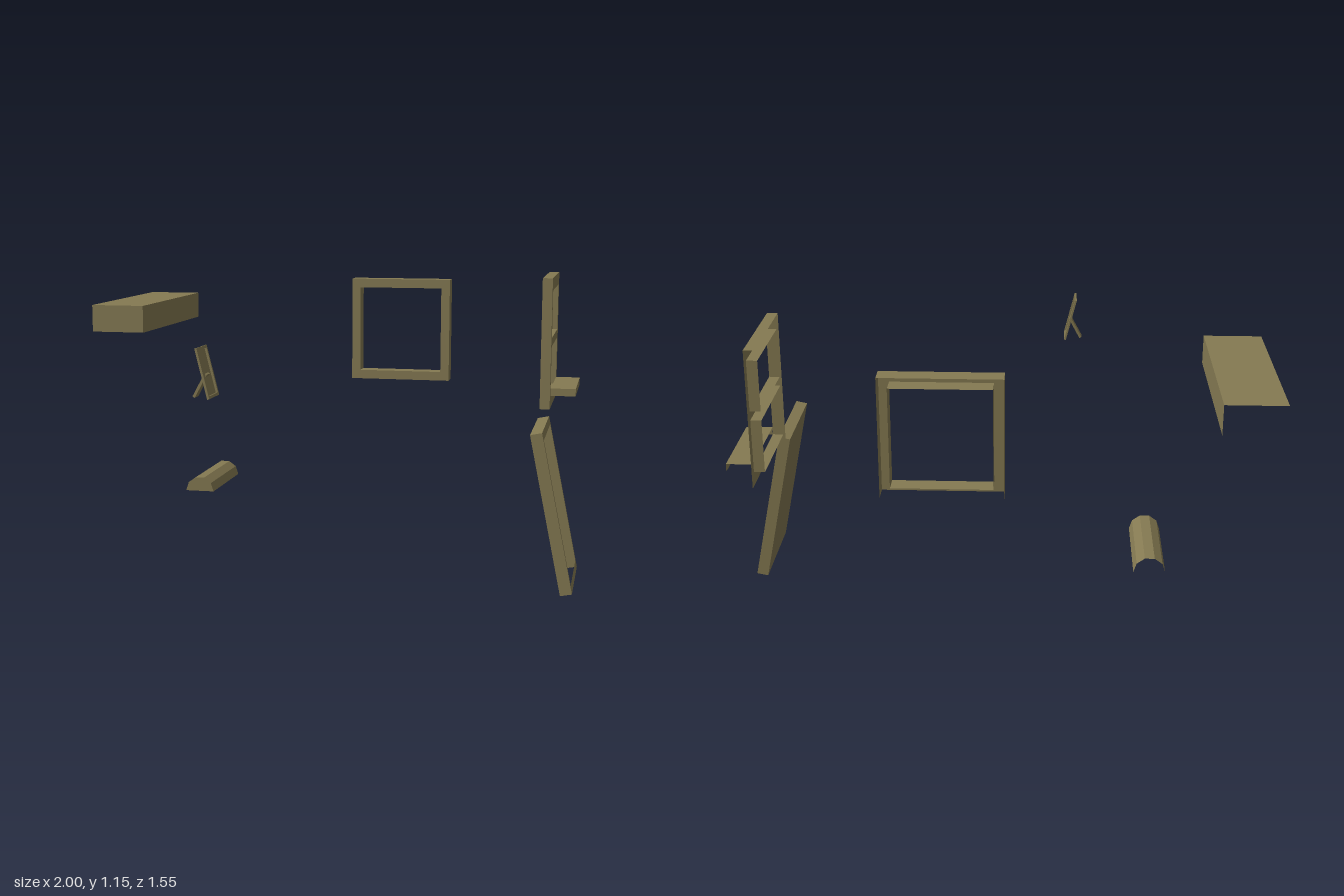
import * as THREE from 'three';

const material = new THREE.MeshStandardMaterial({
  color: 0x857a52, flatShading: true, side: THREE.DoubleSide,
});
const SIDES = ['+x', '-x', '+y', '-y', '+z', '-z'];

function mesh(name, geometry) {
  const m = new THREE.Mesh(geometry, material);
  m.name = name;
  return m;
}

// Box between two corners that keeps only the listed sides
function openBox(name, [x0, y0, z0], [x1, y1, z1], sides = SIDES) {
  const g = new THREE.BoxGeometry(x1 - x0, y1 - y0, z1 - z0);
  const all = Array.from(g.index.array);
  g.setIndex(sides.flatMap((s) => all.slice(SIDES.indexOf(s) * 6, SIDES.indexOf(s) * 6 + 6)));
  g.clearGroups();
  g.translate((x0 + x1) / 2, (y0 + y1) / 2, (z0 + z1) / 2);
  return mesh(name, g);
}

// Frame facing +z with its front at z = 0 and its base at y = 0.
// Each opening is [x0, y0, x1, y1].
function frame(name, w, h, d, { outer, openings, inner = ['+x', '-x', '+y', '-y'], panel = false }) {
  const group = new THREE.Group();
  group.name = name;
  const face = new THREE.Shape([
    new THREE.Vector2(-w / 2, 0), new THREE.Vector2(w / 2, 0),
    new THREE.Vector2(w / 2, h), new THREE.Vector2(-w / 2, h),
  ]);
  for (const [x0, y0, x1, y1] of openings) {
    face.holes.push(new THREE.Path([
      new THREE.Vector2(x0, y0), new THREE.Vector2(x0, y1),
      new THREE.Vector2(x1, y1), new THREE.Vector2(x1, y0),
    ]));
    group.add(openBox('openingWalls', [x0, y0, -d], [x1, y1, 0], inner));
  }
  group.add(mesh('frontFace', new THREE.ShapeGeometry(face)));
  group.add(openBox('outerWalls', [-w / 2, 0, -d], [w / 2, h, 0], panel ? [...outer, '-z'] : outer));
  return group;
}

// Turn a frame to face +x, leaning back by an angle
function faceRight(group, x, y, z, lean = 0) {
  group.rotation.set(0, Math.PI / 2, lean, 'ZYX');
  group.position.set(x, y, z);
  return group;
}

export function createModel() {
  const model = new THREE.Group();
  model.name = 'roomFurnishings';

  // Wall shelf, open towards the walls and below
  model.add(openBox('shelf', [-1, 0.92, -0.775], [-0.78, 1.03, -0.03], ['+x', '+y', '+z']));

  // Square wall frame
  const wallFrame = frame('wallFrame', 0.435, 0.445, 0.07, {
    outer: ['+x', '-x', '+y'],
    openings: [[-0.18, 0.038, 0.18, 0.407]],
  });
  wallFrame.position.set(0.177, 0.665, -0.705);
  model.add(wallFrame);

  // Sash window with a middle rail and a sill
  const windowFrame = frame('windowFrame', 0.435, 0.525, 0.04, {
    outer: ['-x', '+y'],
    openings: [[-0.18, 0.05, 0.18, 0.25], [-0.18, 0.285, 0.18, 0.475]],
  });
  model.add(faceRight(windowFrame, 0.87, 0.63, -0.423));
  model.add(openBox('windowSill', [0.87, 0.68, -0.605], [0.97, 0.71, -0.245], ['+x', '+y', '+z']));

  // Leaning mirror with a recessed panel
  const mirror = frame('leaningMirror', 0.4, 0.62, 0.045, {
    outer: ['+x', '-x', '+y'],
    openings: [[-0.182, 0.03, 0.182, 0.59]],
    inner: ['+x', '-x', '+y'],
    panel: true,
  });
  model.add(faceRight(mirror, 1, 0.01, 0.08, 0.204));

  // Picture frame with a rear leg
  const picture = frame('pictureFrame', 0.12, 0.184, 0.008, {
    outer: ['+x', '-x', '+y', '-y'],
    openings: [[-0.051, 0.01, 0.051, 0.174]],
    panel: true,
  });
  model.add(faceRight(picture, -0.248, 0.779, 0.715, 0.245));
  const leg = openBox('pictureFrameLeg', [-0.005, 0, -0.02], [0.005, 0.095, 0.02]);
  leg.position.set(-0.32, 0.778, 0.71);
  leg.rotation.z = -0.5;
  model.add(leg);

  // Half-round lamp cover, closed at the front only
  const lamp = new THREE.Group();
  lamp.name = 'halfRoundLamp';
  const cover = new THREE.CylinderGeometry(0.06, 0.06, 0.375, 5, 1, true, -Math.PI / 2, Math.PI);
  cover.rotateX(-Math.PI / 2);
  const cap = new THREE.CircleGeometry(0.06, 5, 0, Math.PI);
  cap.translate(0, 0, 0.1875);
  lamp.add(mesh('lampCover', cover), mesh('lampEndCap', cap));
  lamp.position.set(-0.576, 0.246, -0.308);
  model.add(lamp);

  return model;
}
